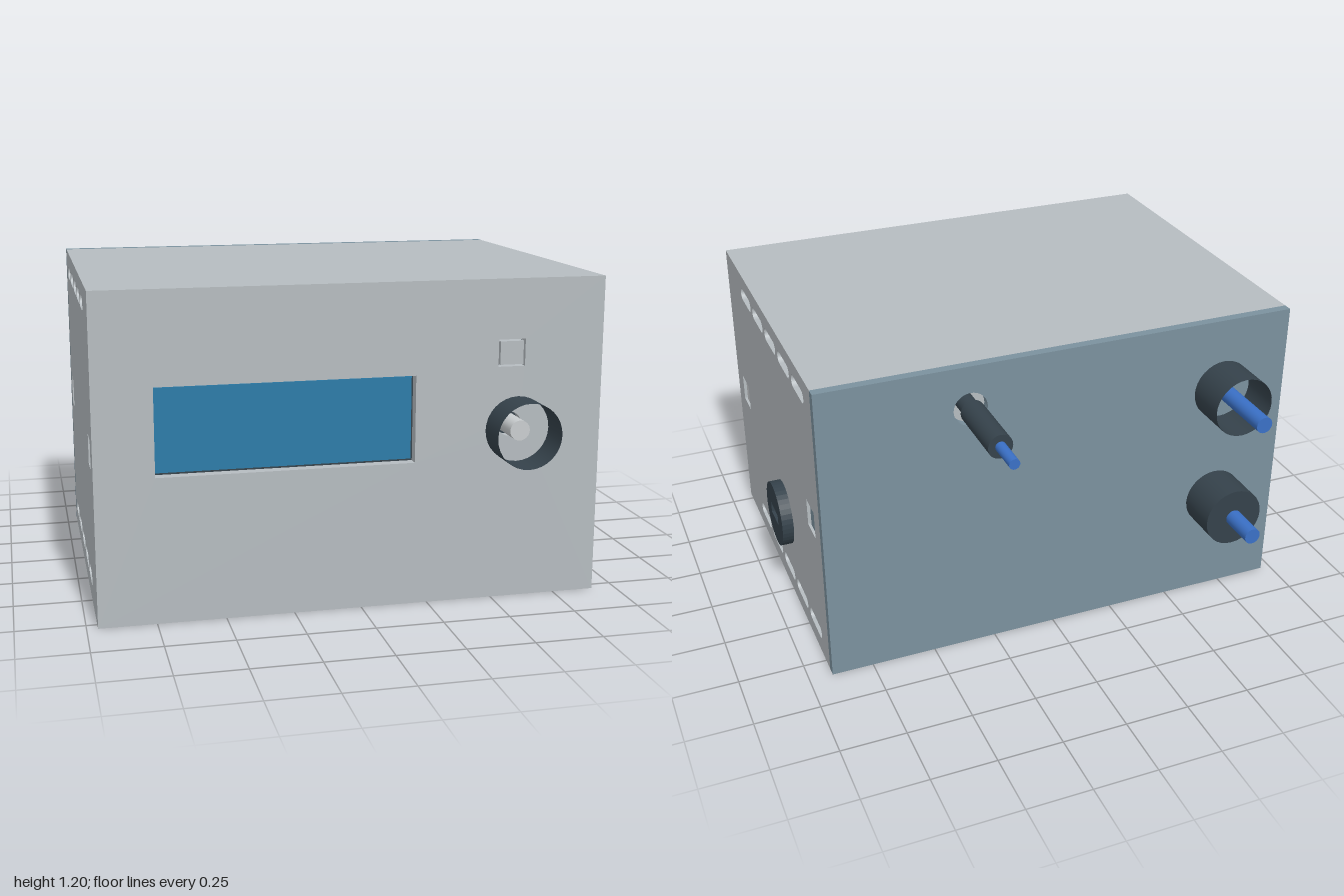
import * as THREE from 'three';

const mat = (name, color, side = THREE.FrontSide) => {
  const m = new THREE.MeshStandardMaterial({ color, side });
  m.name = name;
  return m;
};

export function createModel() {
  const grey = mat('case grey', 0xb6bcc0);
  const steel = mat('back panel blue grey', 0x7b919e);
  const dark = mat('dark rubber', 0x35424b, THREE.DoubleSide);
  const screenBlue = mat('screen blue', 0x2b7ba8);
  const cableBlue = mat('cable blue', 0x3a70c6);
  const light = mat('light plastic', 0xc9cdcf);

  const model = new THREE.Group();
  model.name = 'controlBox';

  const add = (name, geometry, material, x = 0, y = 0, z = 0) => {
    const mesh = new THREE.Mesh(geometry, material);
    mesh.name = name;
    mesh.position.set(x, y, z);
    model.add(mesh);
    return mesh;
  };
  const box = (name, material, x0, x1, y0, y1, z0, z1) =>
    add(name, new THREE.BoxGeometry(x1 - x0, y1 - y0, z1 - z0), material,
      (x0 + x1) / 2, (y0 + y1) / 2, (z0 + z1) / 2);
  // cylinder along z
  const rod = (name, material, r, x, y, z0, z1, open = false) =>
    add(name, new THREE.CylinderGeometry(r, r, Math.abs(z1 - z0), 32, 1, open).rotateX(Math.PI / 2),
      material, x, y, (z0 + z1) / 2);

  const rect = (x0, x1, y0, y1, Type = THREE.Path) => {
    const p = new Type();
    p.moveTo(x0, y0);
    p.lineTo(x1, y0);
    p.lineTo(x1, y1);
    p.lineTo(x0, y1);
    p.closePath();
    return p;
  };
  const circle = (x, y, r, Type = THREE.Path) => {
    const p = new Type();
    p.absarc(x, y, r, 0, Math.PI * 2);
    return p;
  };
  const slot = (x, y, halfLength, r) => {
    const p = new THREE.Path();
    p.absarc(x + halfLength - r, y, r, -Math.PI / 2, Math.PI / 2);
    p.absarc(x - halfLength + r, y, r, Math.PI / 2, Math.PI * 1.5);
    p.closePath();
    return p;
  };
  const plate = (shape, depth, holes) => {
    shape.holes.push(...holes);
    return new THREE.ExtrudeGeometry(shape, { depth, bevelEnabled: false, curveSegments: 20 });
  };

  const L = -0.96, R = 0.91, H = 1.2, F = 0.79, B = -0.59, T = 0.04;
  const knobX = 0.555, knobY = 0.665;

  // Front panel with display window, button and shaft openings
  add('frontPanel', plate(rect(L, R, 0, H, THREE.Shape), T, [
    rect(-0.745, 0.197, 0.538, 0.86),
    rect(0.507, 0.609, 0.879, 0.979),
    circle(knobX, knobY, 0.045),
  ]), grey, 0, 0, F - T);

  // Side walls with vents and latch windows
  const vents = [];
  for (const y of [0.09, 1.117]) {
    for (let i = 0; i < 5; i++) vents.push(slot(0.448 - i * 0.205, y, 0.087, 0.025));
  }
  for (const [name, x] of [['rightWall', R], ['leftWall', L + T]]) {
    const geometry = plate(rect(B + 0.035, F - T, 0, H, THREE.Shape), T, [
      ...vents, rect(0.58, 0.69, 0.55, 0.66), rect(-0.48, -0.375, 0.55, 0.66),
    ]);
    add(name, geometry.rotateY(-Math.PI / 2), grey, x);
  }
  box('top', grey, L + T, R - T, H - T, H, B + 0.035, F - T);
  box('bottom', grey, L + T, R - T, 0, T, B + 0.035, F - T);

  // Back panel with cable openings
  add('backPanel', plate(rect(L, R, 0, H, THREE.Shape), 0.035, [
    circle(0.34, 1.03, 0.065), circle(-0.69, 0.91, 0.05),
  ]), steel, 0, 0, B);

  // Latches behind the side windows
  for (const s of [-1, 1]) {
    const x = s > 0 ? R - 0.035 : L + 0.035;
    box('frontLatchArm', grey, x - 0.02, x + 0.02, 0.555, 0.655, 0.6, F - T);
    box('frontLatchHook', light, x - 0.028, x + 0.028, 0.56, 0.65, 0.605, 0.66);
    box('backLatchArm', steel, x - 0.02, x + 0.02, 0.555, 0.655, B + 0.035, -0.385);
    box('backLatchHook', steel, x - 0.028, x + 0.028, 0.56, 0.65, -0.455, -0.4);
  }

  // Display with dark surround and the module behind it
  box('screenSurround', dark, -0.76, 0.21, 0.525, 0.875, 0.742, 0.749);
  box('screen', screenBlue, -0.743, 0.19, 0.546, 0.852, 0.735, 0.757);
  box('displayModule', grey, -0.8, 0.3, 0.113, 1.11, 0.28, 0.65);

  // Square push button, flush with the panel
  box('buttonGap', dark, 0.5, 0.615, 0.87, 0.985, 0.743, 0.749);
  box('pushButton', grey, 0.514, 0.602, 0.886, 0.972, 0.748, F);

  // Rotary knob: open skirt around a light shaft
  rod('knobShaft', light, 0.037, knobX, knobY, 0.7, 0.9);
  rod('knobSkirt', dark, 0.12, knobX, knobY, 0.87, 1.0, true);
  box('shaftGap', dark, 0.49, 0.62, 0.6, 0.73, 0.743, 0.749);

  // Round side cap with a slot
  add('sideCap', plate(circle(0.025, 0.365, 0.131, THREE.Shape), 0.045, [
    rect(-0.03, 0.08, 0.342, 0.387),
  ]).rotateY(-Math.PI / 2), dark, R + 0.045);
  box('sideCapSlotFloor', dark, R, R + 0.008, 0.335, 0.395, -0.035, 0.085);

  // Power connectors: upper sleeve is open, lower one is closed
  for (const [y, open] of [[0.91, true], [0.422, false]]) {
    rod('connectorSleeve', dark, 0.118, -0.69, y, B, -0.757, open);
    rod('connectorCable', cableBlue, 0.032, -0.69, y, -0.5, -0.9);
  }

  // Sensor lead
  rod('leadNeck', dark, 0.034, 0.34, 1.03, -0.5, -0.615);
  rod('leadSleeve', dark, 0.046, 0.34, 1.03, -0.61, -0.875);
  rod('leadCable', cableBlue, 0.02, 0.34, 1.03, -0.87, -1.0);

  return model;
}
